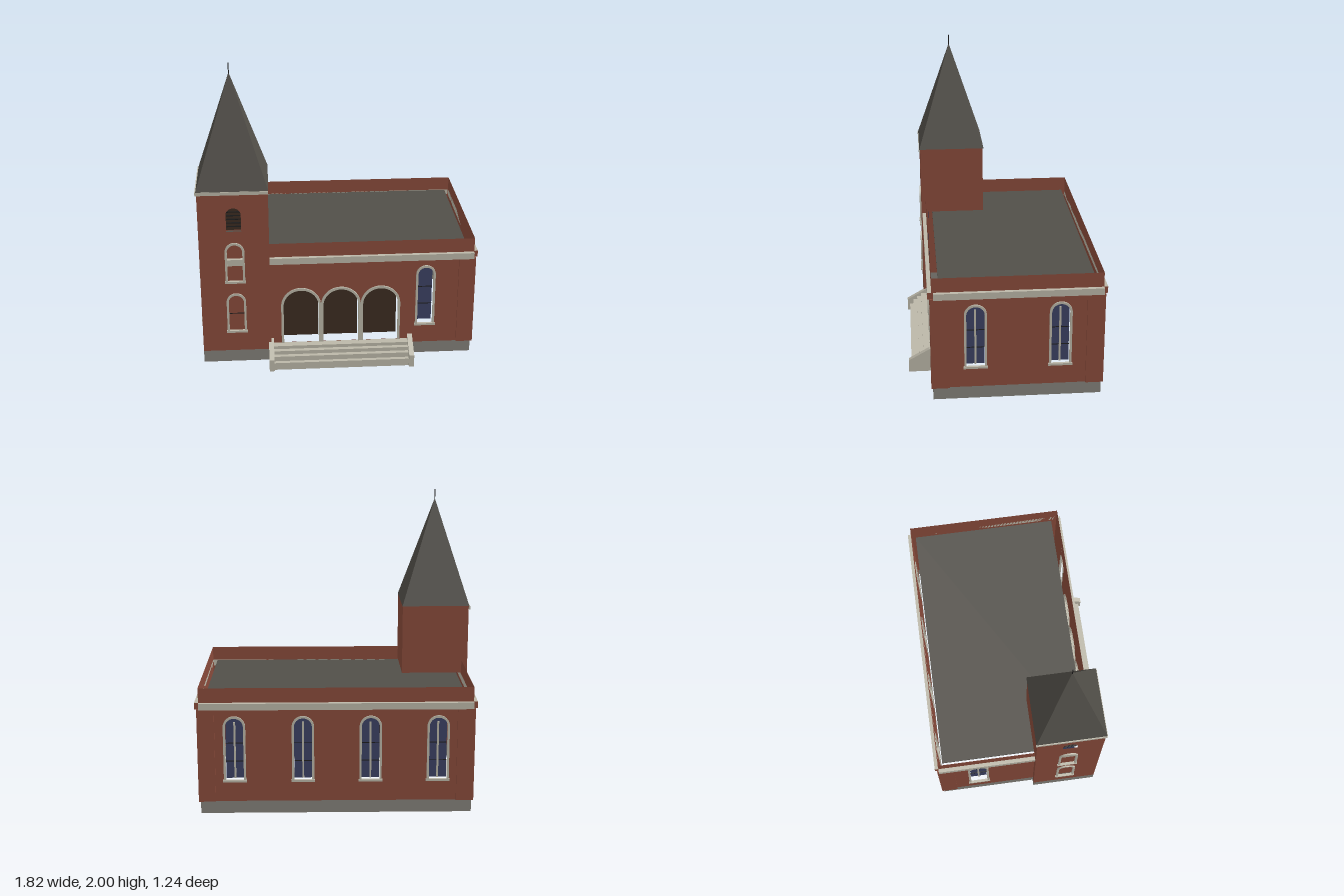
import * as THREE from 'three';

const mat = (name, color, side = THREE.FrontSide) => {
  const m = new THREE.MeshStandardMaterial({ color, side });
  m.name = name;
  return m;
};
const brick = mat('brick', 0x8a4b3b, THREE.DoubleSide);
const stone = mat('pale stone', 0xbcb8a9);
const base = mat('grey base stone', 0x84817a, THREE.DoubleSide);
const slate = mat('dark slate', 0x524f49);
const dark = mat('dark brown wood', 0x3c2d22, THREE.DoubleSide);
const glass = mat('blue glass', 0x3c4264, THREE.DoubleSide);
const iron = mat('black iron', 0x1c1b1b);

function add(parent, name, geo, material, x = 0, y = 0, z = 0) {
  const m = new THREE.Mesh(geo, material);
  m.name = name;
  m.position.set(x, y, z);
  parent.add(m);
  return m;
}

// Box given by its limits
function box(parent, name, material, x0, x1, y0, y1, z0, z1) {
  return add(parent, name, new THREE.BoxGeometry(x1 - x0, y1 - y0, z1 - z0), material,
    (x0 + x1) / 2, (y0 + y1) / 2, (z0 + z1) / 2);
}

// Round-headed opening: centre c, half width r, from sill y0 to crown y1
function trace(path, { c, r, y0, y1 }) {
  path.moveTo(c - r, y0);
  path.lineTo(c + r, y0);
  path.lineTo(c + r, y1 - r);
  path.absarc(c, y1 - r, r, 0, Math.PI, false);
  path.closePath();
  return path;
}

// Flat wall in its own frame: x runs along the wall, +z points outwards
function wall(parent, name, u0, u1, y0, y1, openings = [], material = brick) {
  const s = new THREE.Shape();
  s.moveTo(u0, y0);
  s.lineTo(u1, y0);
  s.lineTo(u1, y1);
  s.lineTo(u0, y1);
  s.closePath();
  openings.forEach(o => s.holes.push(trace(new THREE.Path(), o)));
  add(parent, name, new THREE.ShapeGeometry(s, 16), material);
}

function pane(parent, name, o, material, depth) {
  add(parent, name, new THREE.ShapeGeometry(trace(new THREE.Shape(), o), 16), material, 0, 0, -depth);
}

// Arched stone surround, open at the bottom
function surround(parent, { c, r, y0, y1 }, w) {
  const s = new THREE.Shape(), spring = y1 - r;
  s.moveTo(c + r, y0);
  s.lineTo(c + r + w, y0);
  s.lineTo(c + r + w, spring);
  s.absarc(c, spring, r + w, 0, Math.PI, false);
  s.lineTo(c - r - w, y0);
  s.lineTo(c - r, y0);
  s.lineTo(c - r, spring);
  s.absarc(c, spring, r, Math.PI, 0, true);
  s.closePath();
  const g = new THREE.ExtrudeGeometry(s, { depth: 0.014, bevelEnabled: false, curveSegments: 12 });
  add(parent, 'archSurround', g, stone, 0, 0, -0.004);
}

function archedWindow(parent, o, depth, bars, mullion) {
  const w = 0.014;
  surround(parent, o, w);
  box(parent, 'windowSill', stone, o.c - o.r - w - 0.005, o.c + o.r + w + 0.005, o.y0 - 0.014, o.y0, -0.004, 0.014);
  pane(parent, 'windowGlass', o, glass, depth);
  if (mullion) box(parent, 'mullion', stone, o.c - 0.006, o.c + 0.006, o.y0, o.y1 - 0.035, -depth - 0.006, -depth + 0.008);
  bars.forEach(y => box(parent, 'glazingBar', iron, o.c - o.r, o.c + o.r, y - 0.002, y + 0.002, -depth - 0.003, -depth + 0.005));
}

function louver(parent, o) {
  pane(parent, 'louverPanel', o, dark, 0.03);
  for (let i = 0; i < 5; i++) {
    const y = o.y0 + 0.024 + i * 0.025;
    box(parent, 'louverSlat', iron, o.c - o.r * 0.95, o.c + o.r * 0.95, y, y + 0.004, -0.029, -0.018);
  }
}

export function createModel() {
  const model = new THREE.Group();
  model.name = 'brickChurch';

  // One group for each side, turned so that its +z points outwards
  const side = (name, angle, dist) => {
    const g = new THREE.Group();
    g.name = name;
    g.rotation.y = angle;
    g.position.set(Math.sin(angle) * dist, 0, Math.cos(angle) * dist);
    model.add(g);
    return g;
  };
  const H = Math.PI / 2;
  const cornice = (g, u0, u1) =>
    box(g, 'cornice', [brick, brick, stone, stone, stone, stone], u0, u1, 0.715, 0.758, 0, 0.025);
  const pilaster = (g, u0, u1) => box(g, 'cornerPilaster', brick, u0, u1, 0.1, 0.715, 0, 0.012);

  // Front of the hall with three arched doorways
  const front = side('hallFront', 0, 0.47);
  const doors = [-1, 0, 1].map(i => ({ c: 0.0075 + i * 0.2615, r: 0.115, y0: 0.13, y1: 0.515 }));
  const frontWin = { c: 0.565, r: 0.05, y0: 0.245, y1: 0.655 };
  wall(front, 'frontWall', -0.86, 0.877, 0.1, 0.853, [...doors, frontWin]);
  wall(front, 'frontBase', -0.86, 0.877, 0.018, 0.1, [], base);
  doors.forEach(o => {
    surround(front, o, 0.016);
    pane(front, 'doorPanel', o, dark, 0.09);
  });
  archedWindow(front, frontWin, 0.05, [0.365, 0.49], false);
  cornice(front, -0.86, 0.875);
  pilaster(front, 0.78, 0.889);

  // Right, back and left of the hall
  const sides = [
    { name: 'hallLeft', a: H, d: 0.877, u: [-0.47, 0.59], wins: [-0.203, 0.327], cor: [-0.46, 0.59], pil: [[-0.47, -0.365], [0.49, 0.602]] },
    { name: 'hallBack', a: 2 * H, d: 0.59, u: [-0.877, 0.86], wins: [-0.655, -0.22, 0.21, 0.64], cor: [-0.875, 0.86], pil: [[-0.889, -0.78], [0.76, 0.872]] },
    { name: 'hallRight', a: -H, d: 0.86, u: [-0.59, 0.47], wins: [-0.327], cor: [-0.59, 0.46], pil: [[-0.602, -0.49]] },
  ];
  sides.forEach(s => {
    const g = side(s.name, s.a, s.d);
    const wins = s.wins.map(c => ({ c, r: 0.057, y0: 0.245, y1: 0.655 }));
    wall(g, 'wall', ...s.u, 0.1, 0.853, wins);
    wall(g, 'base', ...s.u, 0.018, 0.1, [], base);
    wins.forEach(o => archedWindow(g, o, 0.033, [0.36, 0.48], true));
    cornice(g, ...s.cor);
    s.pil.forEach(p => pilaster(g, ...p));
  });

  // Flat roof sunk behind the parapet
  box(model, 'flatRoof', slate, -0.825, 0.843, 0.757, 0.767, -0.56, 0.425);

  // Tower: two windowed outer faces
  [['towerFront', 0, 0.5, -0.9, -0.453, -0.675], ['towerRight', -H, 0.9, 0.06, 0.5, 0.28]].forEach(([name, a, d, u0, u1, c]) => {
    const g = side(name, a, d);
    const lower = { c, r: 0.049, y0: 0.252, y1: 0.508 };
    const upper = { c, r: 0.049, y0: 0.612, y1: 0.868 };
    const vent = { c, r: 0.048, y0: 0.96, y1: 1.12 };
    wall(g, 'towerWall', u0, u1, 0.1, 1.235, [lower, upper, vent]);
    wall(g, 'towerBase', u0, u1, 0.018, 0.1, [], base);
    archedWindow(g, lower, 0.05, [], false);
    archedWindow(g, upper, 0.05, [], false);
    box(g, 'glazingBar', iron, c - 0.048, c + 0.048, 0.358, 0.362, -0.05, -0.026);
    louver(g, vent);
    box(g, 'towerCornice', stone, u0 - 0.008, u1, 1.213, 1.235, 0, 0.01);
  });

  // Tower: plain faces above the roof and narrow returns below
  [['towerLeft', H, -0.453, -0.5, -0.06, -0.5, -0.47], ['towerBack', 2 * H, -0.06, 0.453, 0.9, 0.86, 0.9]].forEach(([name, a, d, u0, u1, r0, r1]) => {
    const g = side(name, a, d);
    wall(g, 'towerWall', u0, u1, 0.767, 1.235);
    wall(g, 'towerReturn', r0, r1, 0.1, 0.767);
    wall(g, 'towerReturnBase', r0, r1, 0.018, 0.1, [], base);
  });

  // Spire and finial
  const spire = new THREE.ConeGeometry(0.2265 * Math.SQRT2, 0.705, 4, 1).toNonIndexed();
  spire.rotateY(Math.PI / 4);
  spire.computeVertexNormals();
  add(model, 'spire', spire, slate, -0.677, 1.235 + 0.3525, 0.28);
  add(model, 'finial', new THREE.CylinderGeometry(0.003, 0.003, 0.08, 8), iron, -0.677, 1.96, 0.28);

  // Entrance steps between sloping cheek walls
  [[0, 0.05, 0.603], [0.05, 0.083, 0.578], [0.083, 0.108, 0.55], [0.108, 0.13, 0.522]].forEach(([y0, y1, z]) =>
    box(model, 'entranceStep', stone, -0.442, 0.452, y0, y1, 0.472, z));
  const cheek = new THREE.Shape([[-0.62, 0], [-0.475, 0], [-0.475, 0.165], [-0.49, 0.157], [-0.62, 0.083]]
    .map(p => new THREE.Vector2(...p)));
  [-0.47, 0.45].forEach(x => {
    const g = new THREE.ExtrudeGeometry(cheek, { depth: 0.033, bevelEnabled: false });
    g.rotateY(H);
    add(model, 'stepCheek', g, stone, x, 0, 0);
  });
  return model;
}
